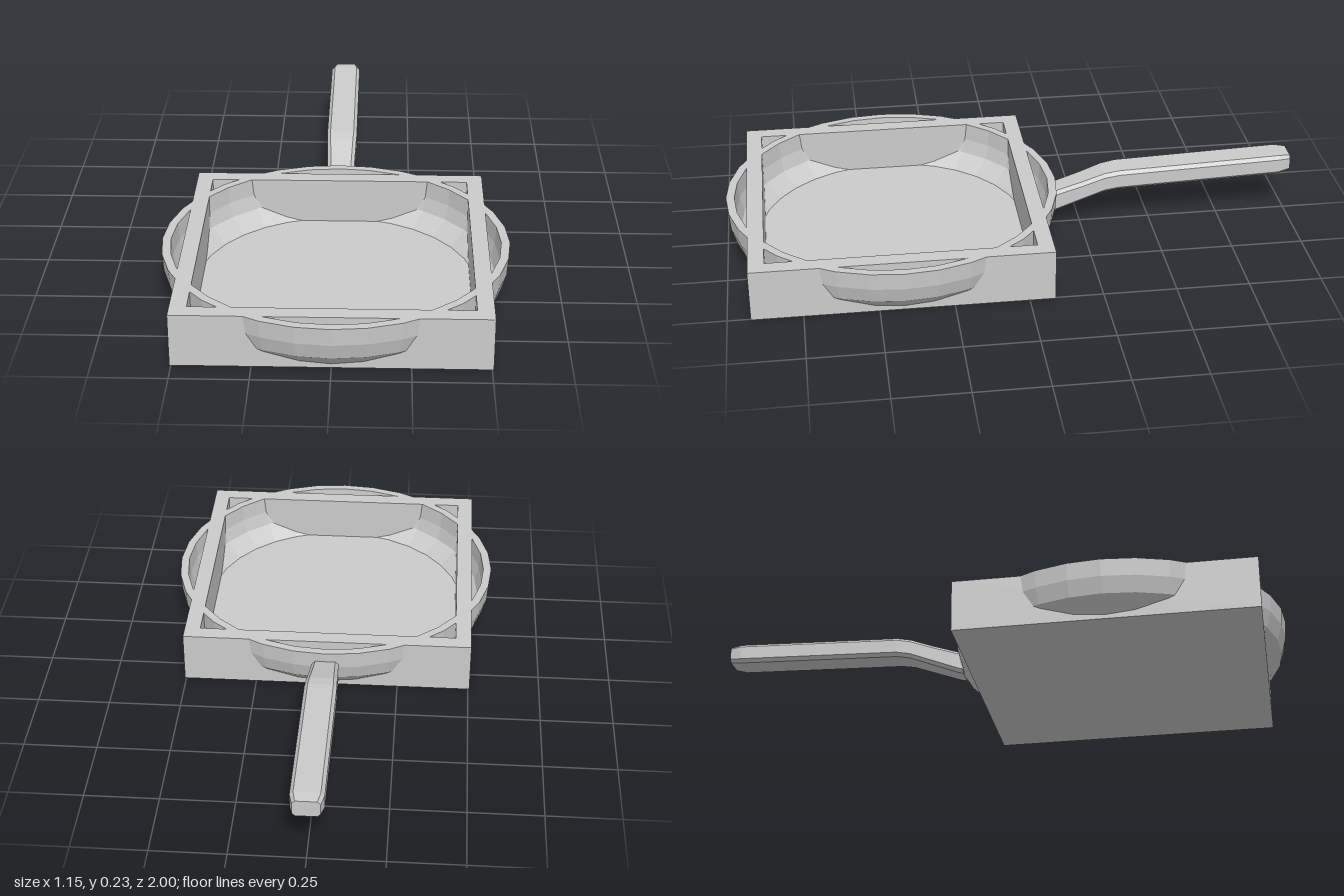
import * as THREE from 'three';

const CENTER_Z = 0.418; // middle of the pan and tray
const material = new THREE.MeshStandardMaterial({ color: 0xcccccc, flatShading: true });

function addMesh(group, name, geometry) {
  const mesh = new THREE.Mesh(geometry, material);
  mesh.name = name;
  group.add(mesh);
  return mesh;
}

function squarePath(PathType, half) {
  return new PathType([[-1, -1], [1, -1], [1, 1], [-1, 1]].map(([x, y]) => new THREE.Vector2(x * half, y * half)));
}

// Loft of chamfered rectangles; each station is [z, bottom, top, halfWidth, chamfer]
function loftHandle(stations) {
  const positions = [], index = [], n = 8;
  for (const [z, y0, y1, w, c] of stations) {
    const ring = [
      [w, y0 + c], [w, y1 - c], [w - c, y1], [-w + c, y1],
      [-w, y1 - c], [-w, y0 + c], [-w + c, y0], [w - c, y0],
    ];
    for (const [x, y] of ring) positions.push(x, y, z);
  }
  for (let i = 0; i < stations.length - 1; i++) {
    for (let j = 0; j < n; j++) {
      const a = i * n + j, b = i * n + (j + 1) % n;
      index.push(a, a + n, b, b, a + n, b + n);
    }
  }
  // End caps
  const last = (stations.length - 1) * n;
  for (let j = 1; j < n - 1; j++) {
    index.push(0, j, j + 1, last, last + j + 1, last + j);
  }
  const geometry = new THREE.BufferGeometry();
  geometry.setAttribute('position', new THREE.Float32BufferAttribute(positions, 3));
  geometry.setIndex(index);
  geometry.computeVertexNormals();
  return geometry;
}

export function createModel() {
  const model = new THREE.Group();
  model.name = 'pan';

  // Square tray: open frame plus a thin floor
  const frame = squarePath(THREE.Shape, 0.505);
  frame.holes.push(squarePath(THREE.Path, 0.45));
  const walls = new THREE.ExtrudeGeometry(frame, { depth: 0.18, bevelEnabled: false });
  walls.rotateX(-Math.PI / 2);
  addMesh(model, 'trayWalls', walls).position.z = CENTER_Z;
  addMesh(model, 'trayFloor', new THREE.BoxGeometry(0.9, 0.014, 0.9)).position.set(0, 0.007, CENTER_Z);

  // Round bowl: outside wall, rim, inside wall and floor
  const profile = [
    [0, 0.004], [0.495, 0.004], [0.557, 0.065], [0.573, 0.12], [0.577, 0.18],
    [0.548, 0.18], [0.544, 0.12], [0.53, 0.07], [0.472, 0.02], [0, 0.02],
  ].map(([r, y]) => new THREE.Vector2(r, y));
  addMesh(model, 'roundBowl', new THREE.LatheGeometry(profile, 32)).position.z = CENTER_Z;

  // Handle rising from the back wall, then running nearly level
  addMesh(model, 'handle', loftHandle([
    [-0.138, 0.062, 0.138, 0.045, 0.012],
    [-0.16, 0.068, 0.147, 0.047, 0.012],
    [-0.25, 0.103, 0.176, 0.05, 0.012],
    [-0.33, 0.134, 0.205, 0.053, 0.012],
    [-0.38, 0.143, 0.214, 0.055, 0.012],
    [-0.96, 0.164, 0.235, 0.055, 0.012],
    [-1.0, 0.172, 0.231, 0.045, 0.01],
  ]));

  return model;
}
